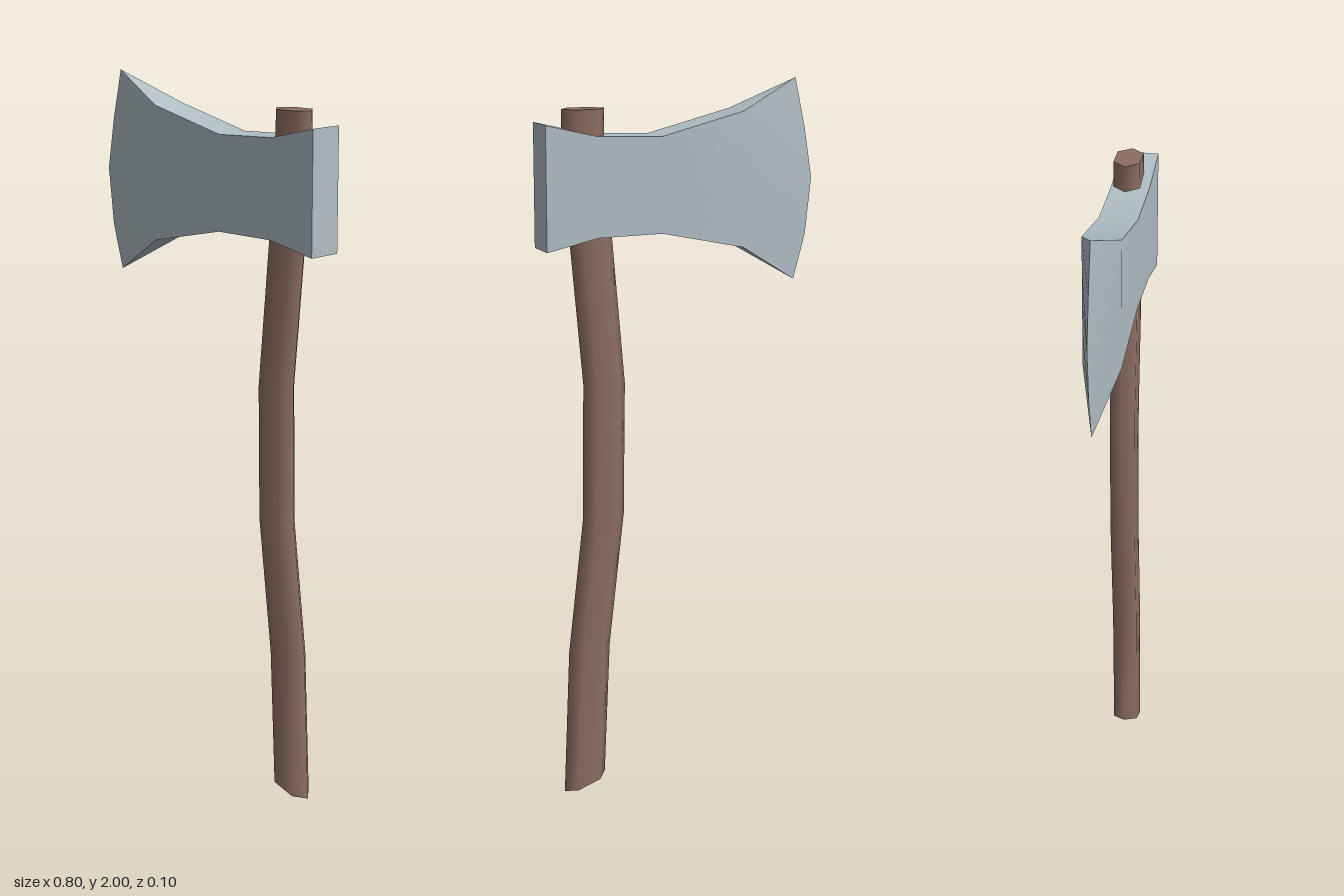
import * as THREE from 'three';
import { toCreasedNormals } from 'three/addons/utils/BufferGeometryUtils.js';

function makeGeometry(pos, idx) {
  const g = new THREE.BufferGeometry();
  g.setAttribute('position', new THREE.Float32BufferAttribute(pos, 3));
  g.setIndex(idx);
  g.computeVertexNormals();
  return g;
}

// Curved wooden shaft: a flattened hexagon carried along a bent path
function handleGeometry() {
  const hex = [[0.061, 0], [0.033, 0.036], [-0.033, 0.036], [-0.061, 0], [-0.033, -0.036], [0.033, -0.036]];
  // centre x, centre y, slope of the ring across x
  const path = [
    [0.296, 0.022, -0.37], [0.278, 0.42, -0.12], [0.233, 0.8, -0.08], [0.2275, 1.18, 0.04],
    [0.263, 1.587, -0.09], [0.283, 1.8, 0], [0.283, 1.937, 0],
  ];
  const pos = [], idx = [], n = hex.length;
  const addRing = ([cx, cy, slope]) => {
    for (const [x, z] of hex) pos.push(cx + x, cy + slope * x, z - 0.012);
  };
  path.forEach(addRing);
  for (let i = 0; i < path.length - 1; i++) {
    for (let j = 0; j < n; j++) {
      const a = i * n + j, b = i * n + (j + 1) % n;
      idx.push(a, a + n, b, b, a + n, b + n);
    }
  }
  // End caps have their own corners so the rims stay sharp
  const bottom = path.length * n, top = bottom + n;
  addRing(path[0]);
  addRing(path[path.length - 1]);
  for (let j = 1; j < n - 1; j++) {
    idx.push(bottom, bottom + j, bottom + j + 1);
    idx.push(top, top + j + 1, top + j);
  }
  return makeGeometry(pos, idx);
}

// Axe head: a slab of constant thickness whose cheeks taper to a curved edge
function headGeometry() {
  // x, top y, bottom y, from the butt towards the blade
  const columns = [[0.402, 1.9, 1.56], [0.255, 1.865, 1.592], [0.07, 1.858, 1.594], [-0.17, 1.918, 1.543]];
  const edge = [[-0.35, 2.0], [-0.38, 1.86], [-0.402, 1.72], [-0.384, 1.56], [-0.35, 1.435]];
  const rows = edge.length, last = columns.length;
  const pos = [], idx = [];
  for (const z of [0.05, -0.054]) {
    for (const [x, top, bottom] of columns) {
      for (let r = 0; r < rows; r++) pos.push(x, THREE.MathUtils.lerp(top, bottom, r / (rows - 1)), z);
    }
  }
  for (const [x, y] of edge) pos.push(x, y, 0.003);

  // Both sides share the vertices of the cutting edge
  const front = (i, r) => (i === last ? 2 * last * rows + r : i * rows + r);
  const back = (i, r) => (i === last ? front(i, r) : (last + i) * rows + r);
  const quad = (a, b, c, d) => {
    if (b !== c) idx.push(a, b, c);
    if (c !== d && a !== d) idx.push(a, c, d);
  };
  for (let i = 0; i < last; i++) {
    for (let r = 0; r < rows - 1; r++) {
      quad(front(i, r), front(i + 1, r), front(i + 1, r + 1), front(i, r + 1));
      quad(back(i, r), back(i, r + 1), back(i + 1, r + 1), back(i + 1, r));
    }
    const e = rows - 1;
    quad(front(i, 0), back(i, 0), back(i + 1, 0), front(i + 1, 0));
    quad(back(i, e), front(i, e), front(i + 1, e), back(i + 1, e));
  }
  // Flat butt
  for (let r = 0; r < rows - 1; r++) {
    quad(front(0, r), front(0, r + 1), back(0, r + 1), back(0, r));
  }
  return toCreasedNormals(makeGeometry(pos, idx), Math.PI / 6);
}

export function createModel() {
  const wood = new THREE.MeshStandardMaterial({ color: 0x8d6e63 });
  wood.name = 'brown wood';
  const steel = new THREE.MeshStandardMaterial({ color: 0xb0bec5 });
  steel.name = 'grey steel';

  const group = new THREE.Group();
  group.name = 'axe';
  const add = (name, geometry, material) => {
    const mesh = new THREE.Mesh(geometry, material);
    mesh.name = name;
    group.add(mesh);
  };
  add('handle', handleGeometry(), wood);
  add('axeHead', headGeometry(), steel);
  return group;
}
